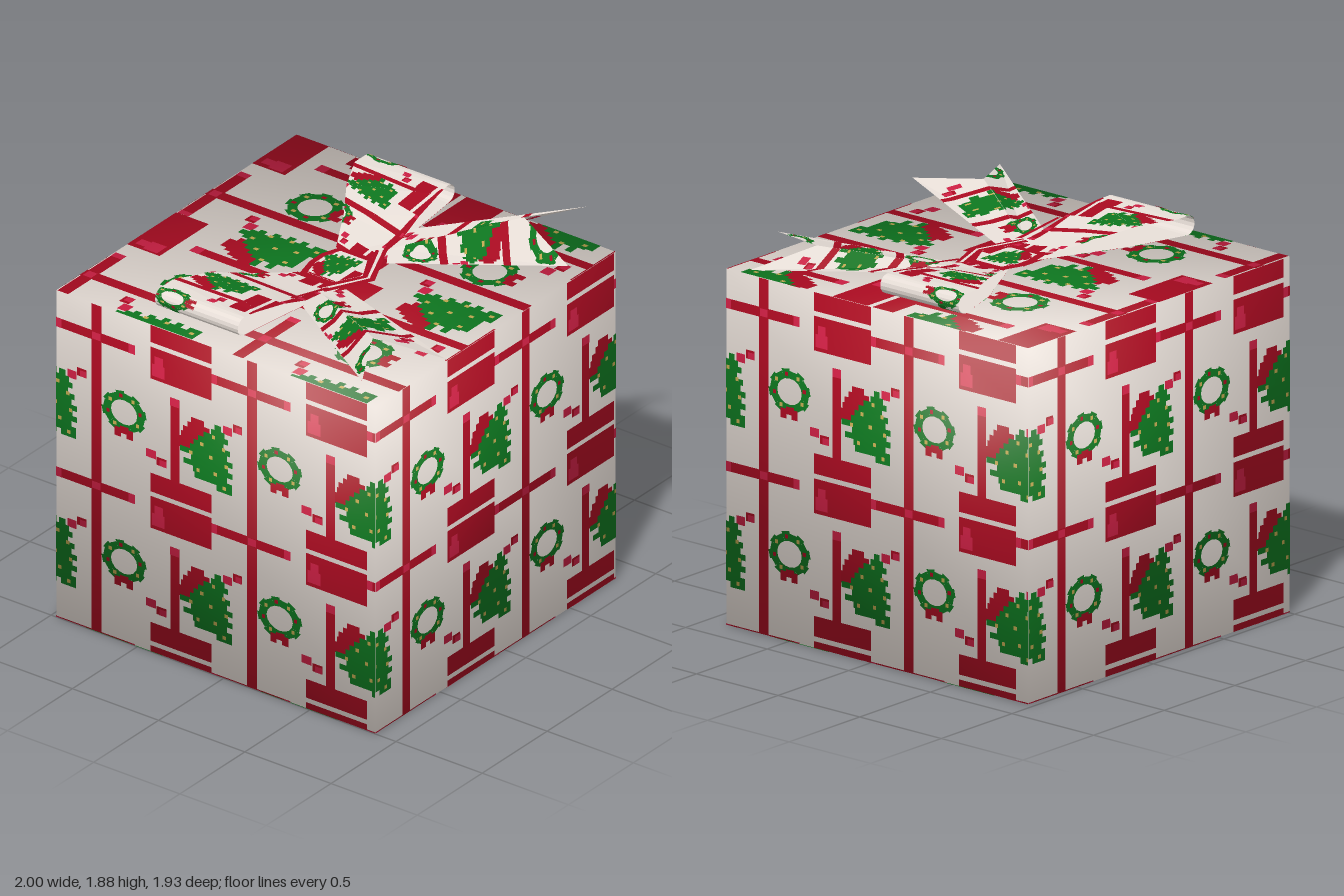
import * as THREE from 'three';

const mat = (name, color) => Object.assign(new THREE.MeshStandardMaterial({ color, side: THREE.DoubleSide }), { name });
const V = (x, y, z) => new THREE.Vector3(x, y, z);
const { clamp, lerp } = THREE.MathUtils;

// ---- Repeating wrapping-paper print: convex shapes in tile units, v pointing down
const TILE_U = 171.7, TILE_V = 148;
function makePrint() {
  const print = [];
  const rect = (color, layer, x0, y0, x1, y1) =>
    print.push({ color, layer, poly: [[x0, y0], [x1, y0], [x1, y1], [x0, y1]] });
  // ribbons
  rect('red', 1, 90, 0, 101, TILE_V);
  rect('red', 1, 51, 103, 138, 112);
  rect('pink', 2, 91, 104, 100, 111);
  rect('pink', 2, 51, 103, 57, 112);
  rect('pink', 2, 131, 103, 138, 112);
  // gift with lid and post
  rect('red', 1, 155, 98, 222.6, 129.5);
  rect('red', 1, 155, 75, 222.6, 93.5);
  rect('pink', 2, 157, 114, 171, 126);
  rect('pink', 2, 160, 106, 169, 114);
  rect('red', 1, 177, 141, 187, 223);
  rect('pink', 2, 177, 141, 187, 149);
  // hat
  [[200, 214], [196, 220], [191, 224], [189, 214], [187, 206], [187, 202]].forEach(([a, b], i) =>
    rect('red', 1, a, 153 + i * 5.5, b, 158.5 + i * 5.5));
  // tree with ornaments
  [[226, 233], [222, 237], [214, 241], [208, 236], [203, 243], [199, 240],
    [188, 246], [200, 241], [192, 246], [202, 240], [204, 245], [228, 245]].forEach(([a, b], i) =>
    rect('green', 2, a, 152 + i * 5.4, b, 157.4 + i * 5.4));
  [[225, 165], [212, 176], [236, 174], [200, 188], [222, 186], [239, 190], [208, 203], [227, 201], [237, 212]]
    .forEach(([x, y]) => rect('gold', 3, x - 1.8, y - 1.8, x + 1.8, y + 1.8));
  // candies
  [[150, 200, 161, 208], [162, 205, 173, 213], [235, 150, 245, 158], [246, 145, 256, 153]].forEach(([a, b, c, d], i) => {
    rect(i % 2 ? 'red' : 'pink', 1, a, b, c, d);
    rect('pink', 2, a + 3, b + 2, c, d);
  });
  // wreath with berries and bow
  const N = 16;
  for (let i = 0; i < N; i++) {
    const pt = (k, rx, ry) => [126 + rx * Math.cos(k * 2 * Math.PI / N), 173 + ry * Math.sin(k * 2 * Math.PI / N)];
    const o = i % 2 ? 1 : -1;
    print.push({ color: 'green', layer: 1,
      poly: [pt(i, 24 + o, 20 + o), pt(i + 1, 24 + o, 20 + o), pt(i + 1, 14.5, 12), pt(i, 14.5, 12)] });
    if (i % 2) {
      const [x, y] = pt(i + 0.5, 18, 16);
      rect(i % 4 === 1 ? 'gold' : 'red', 2, x - 1.8, y - 1.8, x + 1.8, y + 1.8);
    }
  }
  rect('red', 3, 116, 189, 123, 198);
  rect('red', 3, 122, 187, 131, 194);
  rect('red', 3, 129, 189, 136, 198);
  return print;
}

// ---- Clips a polygon against a convex one
function clip(poly, frame) {
  const area = frame.reduce((s, p, i) => {
    const q = frame[(i + 1) % frame.length];
    return s + p[0] * q[1] - q[0] * p[1];
  }, 0);
  frame.forEach((a, i) => {
    const b = frame[(i + 1) % frame.length];
    const side = p => Math.sign(area) * ((b[0] - a[0]) * (p[1] - a[1]) - (b[1] - a[1]) * (p[0] - a[0]));
    const out = [];
    poly.forEach((p, k) => {
      const q = poly[(k + 1) % poly.length], sp = side(p), sq = side(q);
      if (sp >= 0) out.push(p);
      if (sp * sq < 0) out.push([0, 1].map(c => p[c] + (q[c] - p[c]) * sp / (sp - sq)));
    });
    poly = out;
  });
  return poly;
}

// ---- A named part collecting flat faces by colour
class Part {
  constructor(name, print, sides = [1]) { Object.assign(this, { name, print, sides, faces: {} }); }
  face(color, pts, n) {
    const list = this.faces[color] ??= [];
    for (let i = 1; i < pts.length - 1; i++) {
      const t = [pts[0], pts[i], pts[i + 1]];
      const m = t[1].clone().sub(t[0]).cross(t[2].clone().sub(t[0]));
      if (m.dot(n) < 0) t.reverse();
      t.forEach(p => list.push(p.x, p.y, p.z));
    }
  }
  // Flat paper face with the print clipped to it; uvs place the print
  wrap(pts, uvs, inside) {
    const e1 = pts[1].clone().sub(pts[0]), e2 = pts[2].clone().sub(pts[0]);
    const n = e1.clone().cross(e2).normalize();
    if (n.dot(pts[0].clone().sub(inside)) < 0) n.negate();
    this.face('paper', pts, n);
    const [a, b, c] = uvs;
    const bu = b[0] - a[0], bv = b[1] - a[1], cu = c[0] - a[0], cv = c[1] - a[1], det = bu * cv - bv * cu;
    const us = uvs.map(p => p[0]), vs = uvs.map(p => p[1]);
    const i0 = Math.floor(Math.min(...us) / TILE_U) - 2, i1 = Math.ceil(Math.max(...us) / TILE_U);
    const j0 = Math.floor(Math.min(...vs) / TILE_V) - 2, j1 = Math.ceil(Math.max(...vs) / TILE_V);
    for (let i = i0; i <= i1; i++) for (let j = j0; j <= j1; j++) for (const s of this.print) {
      const poly = clip(s.poly.map(([u, v]) => [u + i * TILE_U, v + j * TILE_V]), uvs);
      if (poly.length < 3) continue;
      for (const f of this.sides) {
        this.face(s.color, poly.map(([u, v]) => {
          const x = u - a[0], y = v - a[1];
          return pts[0].clone().addScaledVector(e1, (x * cv - y * cu) / det)
            .addScaledVector(e2, (y * bu - x * bv) / det).addScaledVector(n, f * s.layer * 0.0012);
        }), n.clone().multiplyScalar(f));
      }
    }
  }
  quad(p, t, inside) {
    this.wrap([p[0], p[1], p[2]], [t[0], t[1], t[2]], inside);
    this.wrap([p[0], p[2], p[3]], [t[0], t[2], t[3]], inside);
  }
  // normalAt, if given, shades the part softly across its edges
  build(materials, normalAt) {
    const group = new THREE.Group();
    group.name = this.name;
    for (const [color, list] of Object.entries(this.faces)) {
      const g = new THREE.BufferGeometry();
      g.setAttribute('position', new THREE.Float32BufferAttribute(list, 3));
      g.computeVertexNormals();
      if (normalAt) {
        const p = V(0, 0, 0);
        for (let i = 0; i < list.length / 3; i++) {
          g.attributes.normal.setXYZ(i, ...normalAt(p.fromArray(list, i * 3)).toArray());
        }
      }
      const mesh = new THREE.Mesh(g, materials[color]);
      mesh.name = `${this.name} ${color}`;
      group.add(mesh);
    }
    return group;
  }
}

export function createModel() {
  const materials = {
    paper: mat('paper', 0xe6ddd6), red: mat('red', 0xa80a20), pink: mat('pink', 0xc91e42),
    green: mat('green', 0x0d751f), gold: mat('gold', 0xbfa650),
  };
  const print = makePrint();
  const model = new THREE.Group();
  model.name = 'giftBox';
  const CX = -0.075;

  // Box: corner at top left of each face, then its right and down directions
  const box = new Part('box', print), H = 1.73, W = 1.85;
  const x0 = -1, x1 = 0.85, z0 = -0.97, z1 = 0.88;
  const side = [51, 76.5, 403, 400];
  const centre = V(CX, H / 2, (z0 + z1) / 2), half = V(W / 2, H / 2, W / 2);
  [
    [V(x0, H, z1), V(W, 0, 0), V(0, -H, 0), [51, 76.5, 397, 400]],
    [V(x1, H, z1), V(0, 0, -W), V(0, -H, 0), [51, 76.5, 408.5, 400]],
    [V(x1, H, z0), V(-W, 0, 0), V(0, -H, 0), side],
    [V(x0, H, z0), V(0, 0, W), V(0, -H, 0), side],
    [V(x0, H, z0), V(W, 0, 0), V(0, 0, W), [58, 102, 387.5, 372]],
    [V(x0, 0, z1), V(W, 0, 0), V(0, 0, -W), [58, 120, 387.5, 390]],
  ].forEach(([o, r, d, [u0, v0, u1, v1]]) => box.wrap(
    [o, o.clone().add(r), o.clone().add(r).add(d), o.clone().add(d)],
    [[u0, v0], [u1, v0], [u1, v1], [u0, v1]], centre));
  model.add(box.build(materials, p => p.sub(centre).divide(half).normalize()));

  for (const s of [-1, 1]) {
    const label = s < 0 ? 'right' : 'left';

    // Bow loop: [distance from knot centre, height, back z, front z, drop at front], over, round the curl and back under
    const loop = new Part(`${label}Loop`, print);
    const prof = [[0.1, 1.742, -0.13, 0.08, 0], [0.36, 1.802, -0.27, 0.065, 0.03],
      [0.52, 1.846, -0.375, 0.045, 0.03], [0.7, 1.855, -0.465, 0.025, 0.008]];
    for (let i = 0; i <= 8; i++) {
      const a = Math.PI * (0.5 - i / 8);
      prof.push([0.785 + 0.05 * Math.cos(a), 1.808 + 0.047 * Math.sin(a), -0.465, 0.015, 0]);
    }
    prof.push([0.5, 1.752, -0.36, 0.04, 0], [0.1, 1.735, -0.13, 0.08, 0]);
    // the print leans near the knot and drifts back towards the curl
    const loopUV = (d, z) => {
      const lean = 0.15 * clamp((0.8 - d) / 0.37, 0, 1) * (z + 0.25);
      const v = lerp(185 + (z + 0.251) * 240, 193 + (z + 0.27) * 190, clamp((d - 0.57) / 0.2, 0, 1));
      return [217 - (d + lean - 0.57) * 346, v];
    };
    for (let i = 0; i < prof.length - 1; i++) {
      const [a, b] = [prof[i], prof[i + 1]];
      const pts = [[a, 2], [b, 2], [b, 3], [a, 3]].map(([p, k]) => V(CX + s * p[0], p[1] - (k - 2) * p[4], p[k]));
      // round the curl the print continues along the ribbon
      const run = p => (i >= 4 && i < 12 ? p[0] + (1.855 - p[1]) : p[0]);
      const uvs = [loopUV(run(a), a[2]), loopUV(run(b), b[2]), loopUV(run(b), b[3]), loopUV(run(a), a[3])];
      loop.quad(pts, uvs, V(CX + s * 0.77, 1.79, -0.2));
    }
    model.add(loop.build(materials));

    // Tail: two halves meeting at a raised ridge, ending in a notch with two tips, printed on both sides
    const tail = new Part(`${label}Tail`, print, [1, -1]);
    const [root, rootOut, rootIn, notch, tipOut, tipIn] = s < 0
      ? [V(-0.32, 1.752, 0.06), V(-0.47, 1.752, 0.06), V(-0.2, 1.74, 0.11), V(-0.66, 1.858, 0.61), V(-0.97, 1.82, 0.78), V(-0.56, 1.815, 0.96)]
      : [V(0.2, 1.755, 0.05), V(0.4, 1.775, 0.05), V(0.11, 1.74, 0.11), V(0.65, 1.875, 0.5), V(0.995, 1.815, 0.61), V(0.48, 1.82, 0.885)];
    const [vOut, vIn] = s < 0 ? [150, 221] : [221, 150];
    const below = V(0, -10, 0);
    for (const [rootEdge, tip, v] of [[rootOut, tipOut, vOut], [rootIn, tipIn, vIn]]) {
      tail.quad([root, notch, tip, rootEdge], [[340, 187], [155, 187], [100, v], [345, v]], below);
    }
    model.add(tail.build(materials));
  }

  // Knot: red hexagon with a printed centre, and a red band with a pale stripe in front
  const knot = new Part('knot', print), up = V(0, 1, 0);
  const hex = (k, y) => [[-0.165, -0.13], [-0.03, -0.165], [0.06, -0.165], [0.165, -0.13], [0.165, 0.07], [0, 0.16], [-0.165, 0.07]]
    .map(([x, z]) => V(CX + x * k, y, -0.03 + (z + 0.02) * k));
  knot.face('red', hex(1, 1.752), up);
  const inner = hex(0.78, 1.756);
  knot.wrap(inner, inner.map(p => [218 + (p.x - CX) * 260, 187 + (p.z + 0.045) * 370]), V(CX, 0, 0));
  for (const s of [-1, 1]) {
    // [centre back z, centre front z, end back z, end front z]
    [['red', 0, 0.12, 0.18, 0.02, 0.07], ['paper', 0.003, 0.137, 0.151, 0.04, 0.05]].forEach(([color, lift, a, b, c, d]) =>
      knot.face(color, [V(CX, 1.753 + lift, b), V(CX + s * 0.24, 1.765 + lift, d),
        V(CX + s * 0.22, 1.765 + lift, c), V(CX, 1.753 + lift, a)], up));
    knot.face('red', [V(CX + s * 0.2, 1.772, 0.085), V(CX + s * 0.22, 1.775, 0.06), V(CX + s * 0.46, 1.82, 0.035), V(CX + s * 0.46, 1.82, 0.05)], up);
  }
  model.add(knot.build(materials));
  return model;
}
